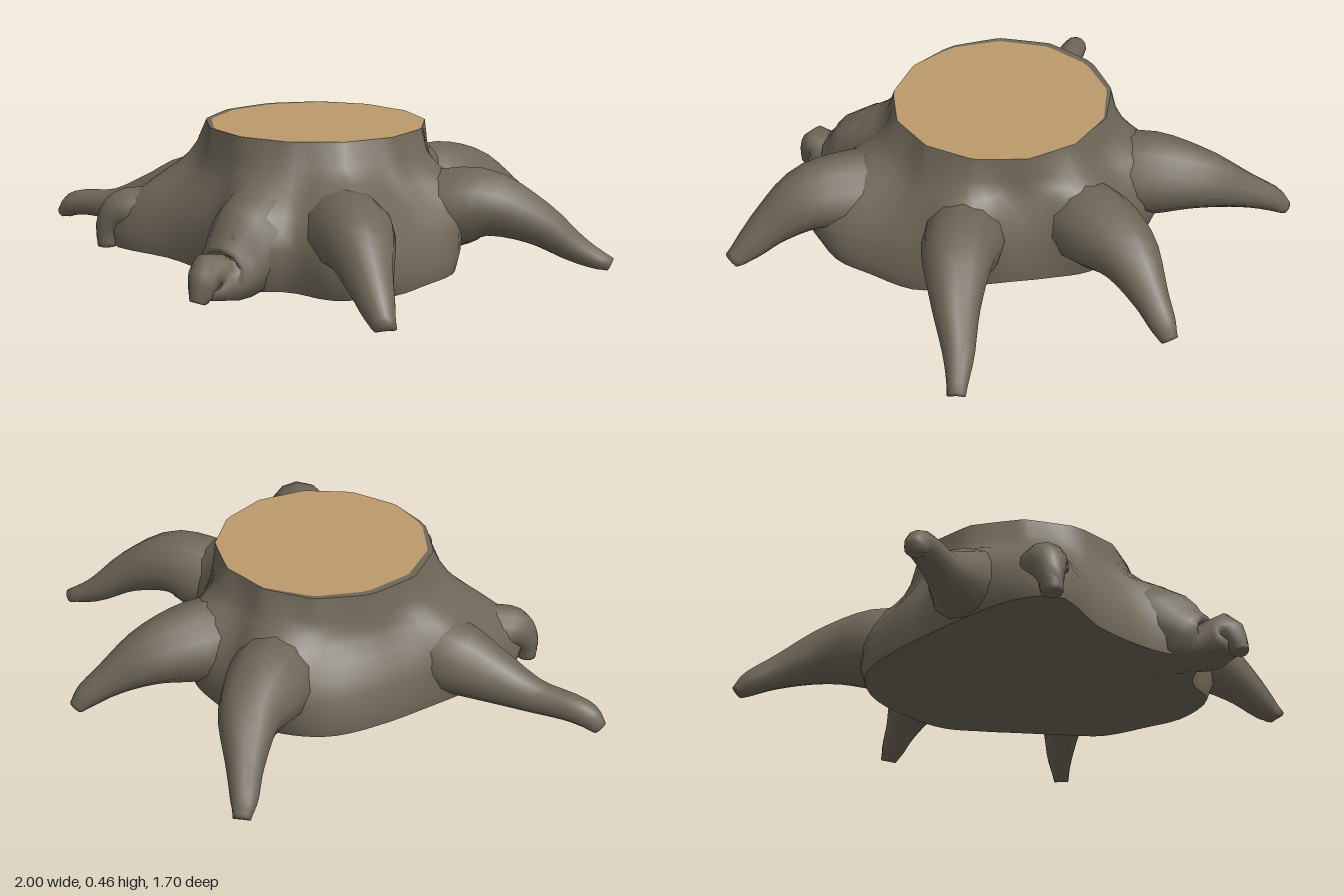
import * as THREE from 'three';

const bark = new THREE.MeshStandardMaterial({ color: 0x6e6658 });
bark.name = 'bark';
const wood = new THREE.MeshStandardMaterial({ color: 0xbc996b });
wood.name = 'cut wood';

const CX = 0.055, CZ = 0.06, HEIGHT = 0.46, TAU = Math.PI * 2;
const angleOf = (x, z) => Math.atan2(x - CX, z - CZ);

// Skin a list of equal-length rings (each running counter-clockwise about the path) and cap chosen ends.
function loft(rings, capStart, capEnd) {
  const n = rings[0].length, pos = [], index = [];
  const add = (p) => pos.push(p.x, Math.max(p.y, 0.005), p.z) / 3 - 1;
  rings.forEach((ring) => ring.forEach(add));
  for (let i = 0; i < rings.length - 1; i++) {
    for (let j = 0; j < n; j++) {
      const a = i * n + j, b = i * n + (j + 1) % n;
      index.push(a, b, a + n, b, b + n, a + n);
    }
  }
  const cap = (row, flip) => {
    const centre = rings[row].reduce((s, p) => s.add(p), new THREE.Vector3()).divideScalar(n);
    const c = add(centre);
    for (let j = 0; j < n; j++) {
      const a = row * n + j, b = row * n + (j + 1) % n;
      if (flip) index.push(c, b, a); else index.push(c, a, b);
    }
  };
  if (capStart) cap(0, true);
  if (capEnd) cap(rings.length - 1, false);
  const g = new THREE.BufferGeometry();
  g.setAttribute('position', new THREE.Float32BufferAttribute(pos, 3));
  g.setIndex(index);
  g.computeVertexNormals();
  return g;
}

// Tapered root along points of [x, y, z, radius].
function rootGeometry(points) {
  const path = new THREE.CatmullRomCurve3(points.map(([x, y, z]) => new THREE.Vector3(x, y, z)));
  const radii = new THREE.SplineCurve(points.map((p, i) => new THREE.Vector2(i, p[3])));
  const up = new THREE.Vector3(0, 1, 0), steps = 18, sides = 12, rings = [];
  for (let i = 0; i <= steps; i++) {
    const t = i / steps, p = path.getPoint(t), dir = path.getTangent(t), r = radii.getPoint(t).y;
    const side = new THREE.Vector3().crossVectors(up, dir).normalize();
    const normal = new THREE.Vector3().crossVectors(dir, side);
    rings.push(Array.from({ length: sides }, (_, j) => {
      const a = (j / sides) * TAU;
      return p.clone().addScaledVector(side, Math.cos(a) * r).addScaledVector(normal, Math.sin(a) * r);
    }));
  }
  return loft(rings, false, true);
}

// Irregular outline of the stump at the ground [x, z], from the front round through +x.
const footprint = [
  [0.05, 0.59], [0.23, 0.67], [0.38, 0.56], [0.55, 0.53], [0.66, 0.36], [0.66, 0.2], [0.64, 0.02],
  [0.54, -0.1], [0.43, -0.22], [0.33, -0.33], [0.22, -0.43], [0.02, -0.47], [-0.15, -0.46],
  [-0.28, -0.4], [-0.38, -0.3], [-0.45, -0.12], [-0.49, 0.05], [-0.53, 0.25], [-0.54, 0.45],
  [-0.48, 0.56], [-0.2, 0.54],
];

// Height, spread from the cut towards the footprint, and bulge towards each root.
const flare = [[0.01, 0.97, 0], [0.07, 1, 0.02], [0.15, 0.86, 0.07], [0.2, 0.7, 0.1], [0.25, 0.49, 0.12],
  [0.3, 0.27, 0.11], [0.335, 0.18, 0.05], [0.38, 0.1, 0.01], [HEIGHT, 0, 0]];

const roots = {
  backRightRoot: [[-0.07, 0.16, -0.2, 0.14], [-0.175, 0.19, -0.42, 0.15], [-0.255, 0.18, -0.58, 0.11],
    [-0.37, 0.11, -0.71, 0.065], [-0.45, 0.05, -0.79, 0.045], [-0.475, 0.01, -0.825, 0.03]],
  backLeftRoot: [[0.14, 0.16, -0.2, 0.14], [0.195, 0.19, -0.42, 0.145], [0.25, 0.18, -0.58, 0.11],
    [0.32, 0.11, -0.71, 0.065], [0.365, 0.05, -0.79, 0.045], [0.38, 0.01, -0.825, 0.03]],
  leftRoot: [[0.35, 0.16, -0.01, 0.13], [0.5, 0.19, -0.09, 0.14], [0.625, 0.22, -0.155, 0.12],
    [0.77, 0.16, -0.25, 0.08], [0.88, 0.07, -0.335, 0.05], [0.98, 0.015, -0.395, 0.03]],
  frontLeftRoot: [[0.35, 0.17, 0.3, 0.14], [0.5, 0.19, 0.4, 0.145], [0.61, 0.2, 0.48, 0.12],
    [0.72, 0.13, 0.56, 0.08], [0.8, 0.06, 0.61, 0.055], [0.86, 0.01, 0.645, 0.035]],
  frontRoot: [[0.15, 0.17, 0.35, 0.14], [0.2, 0.165, 0.5, 0.16], [0.215, 0.08, 0.63, 0.125],
    [0.225, 0.05, 0.71, 0.095], [0.23, 0.095, 0.77, 0.065], [0.235, 0.03, 0.81, 0.04], [0.235, 0.005, 0.82, 0.03]],
  rightRoot: [[-0.3, 0.16, 0.15, 0.13], [-0.45, 0.15, 0.19, 0.135], [-0.58, 0.11, 0.245, 0.105],
    [-0.75, 0.07, 0.3, 0.062], [-0.88, 0.065, 0.34, 0.05], [-0.94, 0.05, 0.36, 0.045], [-0.98, 0.01, 0.375, 0.03]],
  frontRightRoot: [[-0.3, 0.13, 0.35, 0.11], [-0.42, 0.13, 0.45, 0.09], [-0.48, 0.13, 0.51, 0.075],
    [-0.51, 0.08, 0.545, 0.05], [-0.515, 0, 0.555, 0.035]],
};

// Direction and strength of the swelling where each root leaves the trunk
const shoulders = Object.values(roots).map(([, [x, y, z, r]]) => ({ angle: angleOf(x, z), amount: (y + r - 0.2) / 0.14 }));
function swelling(angle) {
  return shoulders.reduce((sum, s) => {
    const d = Math.atan2(Math.sin(angle - s.angle), Math.cos(angle - s.angle));
    return sum + s.amount * Math.exp(-((d / 0.25) ** 2));
  }, 0);
}

export function createModel() {
  const group = new THREE.Group();
  group.name = 'treeStump';
  const addMesh = (name, geometry, material) => {
    const mesh = new THREE.Mesh(geometry, material);
    mesh.name = name;
    group.add(mesh);
  };

  // Thirteen-sided sawn edge, and the bark around it, thicker on the right
  const outline = new THREE.CatmullRomCurve3(
    footprint.map(([x, z]) => new THREE.Vector3(x, 0, z)), true).getPoints(78).slice(0, 78);
  const angles = outline.map((p) => angleOf(p.x, p.z));
  const polar = (a, r) => new THREE.Vector3(CX + Math.sin(a) * r, HEIGHT, CZ + Math.cos(a) * r);
  const cutRadius = (a) => {
    const step = TAU / 13, local = ((a + TAU) % step) - step / 2;
    return 0.38 * Math.cos(step / 2) / Math.cos(local);
  };
  const cutEdge = angles.map((a) => polar(a, cutRadius(a)));
  const rim = angles.map((a) => polar(a, cutRadius(a) + 0.025 * Math.max(0, -Math.sin(a))));

  // Flared trunk swelling into the roots; doubled rings keep the top and bottom edges sharp
  const rings = flare.map(([y, spread, bulge]) => rim.map((p, i) => {
    const a = angles[i], push = bulge * swelling(a);
    return p.clone().lerp(outline[i], spread).add(new THREE.Vector3(Math.sin(a) * push, 0, Math.cos(a) * push)).setY(y);
  }));
  addMesh('trunk', loft([rings[0], ...rings, rim, cutEdge], true, false), bark);

  // Sawn face
  addMesh('cutTop', loft([cutEdge, cutEdge], false, true), wood);

  // Roots
  for (const [name, points] of Object.entries(roots)) addMesh(name, rootGeometry(points), bark);
  return group;
}
